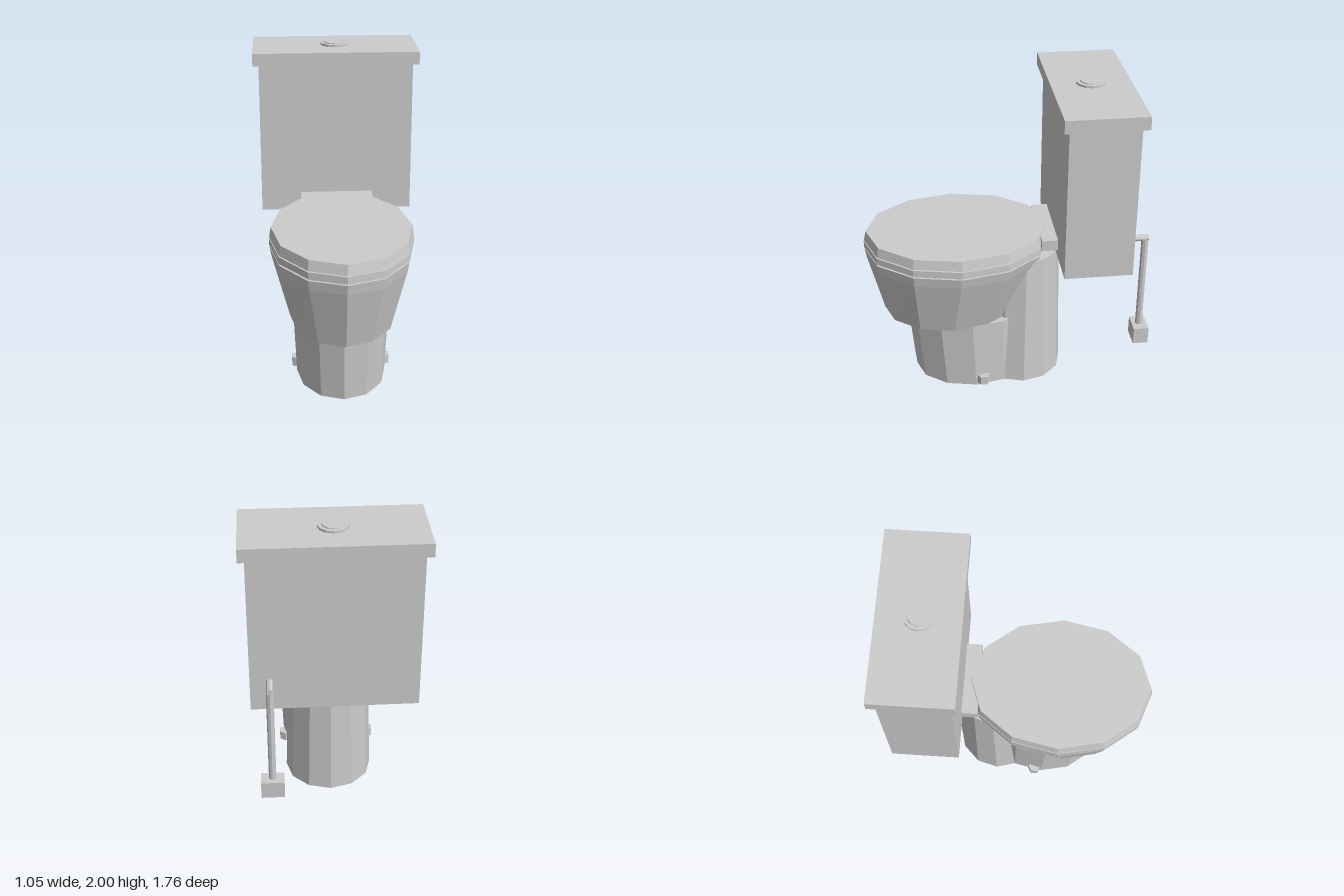
import * as THREE from 'three';

const SIDES = 12;

// Faceted oval frustum; each ring is [y, radiusX, radiusZ, centreZ]
function frustum(bottom, top, sides = SIDES) {
  const g = new THREE.CylinderGeometry(1, 1, 1, sides).toNonIndexed();
  const p = g.attributes.position;
  for (let i = 0; i < p.count; i++) {
    const [y, rx, rz, cz] = p.getY(i) > 0 ? top : bottom;
    p.setXYZ(i, p.getX(i) * rx, y, p.getZ(i) * rz + cz);
  }
  g.computeVertexNormals();
  return g;
}

// Box from its lower and upper corners
function box(x0, x1, y0, y1, z0, z1) {
  return new THREE.BoxGeometry(x1 - x0, y1 - y0, z1 - z0)
    .translate((x0 + x1) / 2, (y0 + y1) / 2, (z0 + z1) / 2);
}

export function createModel() {
  const model = new THREE.Group();
  model.name = 'toilet';
  const ceramic = new THREE.MeshStandardMaterial({ color: 0xcccccc });
  ceramic.name = 'ceramic grey';

  const add = (name, geometry) => {
    const mesh = new THREE.Mesh(geometry, ceramic);
    mesh.name = name;
    model.add(mesh);
    return mesh;
  };

  // Foot and rear column
  add('pedestal', frustum([0, 0.285, 0.375, 0.205], [0.48, 0.305, 0.4, 0.225]));
  add('rearColumn', frustum([0, 0.28, 0.275, -0.11], [0.9, 0.25, 0.24, -0.125]));

  // Bowl: tapered body and rim
  add('bowl', frustum([0.475, 0.325, 0.43, 0.34], [0.86, 0.43, 0.565, 0.3]));
  add('bowlRim', frustum([0.86, 0.43, 0.565, 0.3], [0.925, 0.443, 0.583, 0.293]));

  // Seat and lid, separated by narrow recessed gaps
  add('seatGap', frustum([0.925, 0.43, 0.567, 0.293], [0.937, 0.43, 0.567, 0.293]));
  add('seat', frustum([0.937, 0.445, 0.585, 0.293], [0.98, 0.445, 0.585, 0.293]));
  add('lidGap', frustum([0.98, 0.432, 0.57, 0.293], [0.987, 0.432, 0.57, 0.293]));
  add('seatLid', frustum([0.987, 0.443, 0.583, 0.293], [1.05, 0.432, 0.57, 0.293]));
  add('hingeBlock', box(-0.235, 0.235, 0.97, 1.04, -0.33, -0.22));

  // Tank with overhanging cover and flush button
  add('tank', box(-0.49, 0.49, 0.92, 1.9, -0.74, -0.32));
  add('tankCover', box(-0.527, 0.527, 1.9, 1.98, -0.775, -0.285));
  add('buttonRing', frustum([1.975, 0.09, 0.09, -0.53], [1.993, 0.09, 0.09, -0.53]));
  add('button', frustum([1.99, 0.067, 0.067, -0.53], [2, 0.065, 0.065, -0.53]));

  // Floor bolts
  for (const side of [-1, 1]) {
    const bolt = add(side > 0 ? 'leftBolt' : 'rightBolt',
      frustum([0.02, 0.043, 0.043, 0.157], [0.08, 0.043, 0.043, 0.157], 6));
    bolt.position.x = side * 0.278;
  }

  // Water supply pipe and valve
  const riser = add('supplyRiser',
    frustum([0.45, 0.022, 0.022, -0.83], [1.11, 0.022, 0.022, -0.83], 8));
  riser.position.x = 0.377;
  const inlet = add('supplyInlet',
    frustum([-0.06, 0.02, 0.02, 0], [0.06, 0.02, 0.02, 0], 8));
  inlet.rotation.x = Math.PI / 2;
  inlet.position.set(0.377, 1.11, -0.79);
  add('valve', box(0.307, 0.447, 0.37, 0.48, -0.88, -0.785));

  return model;
}
